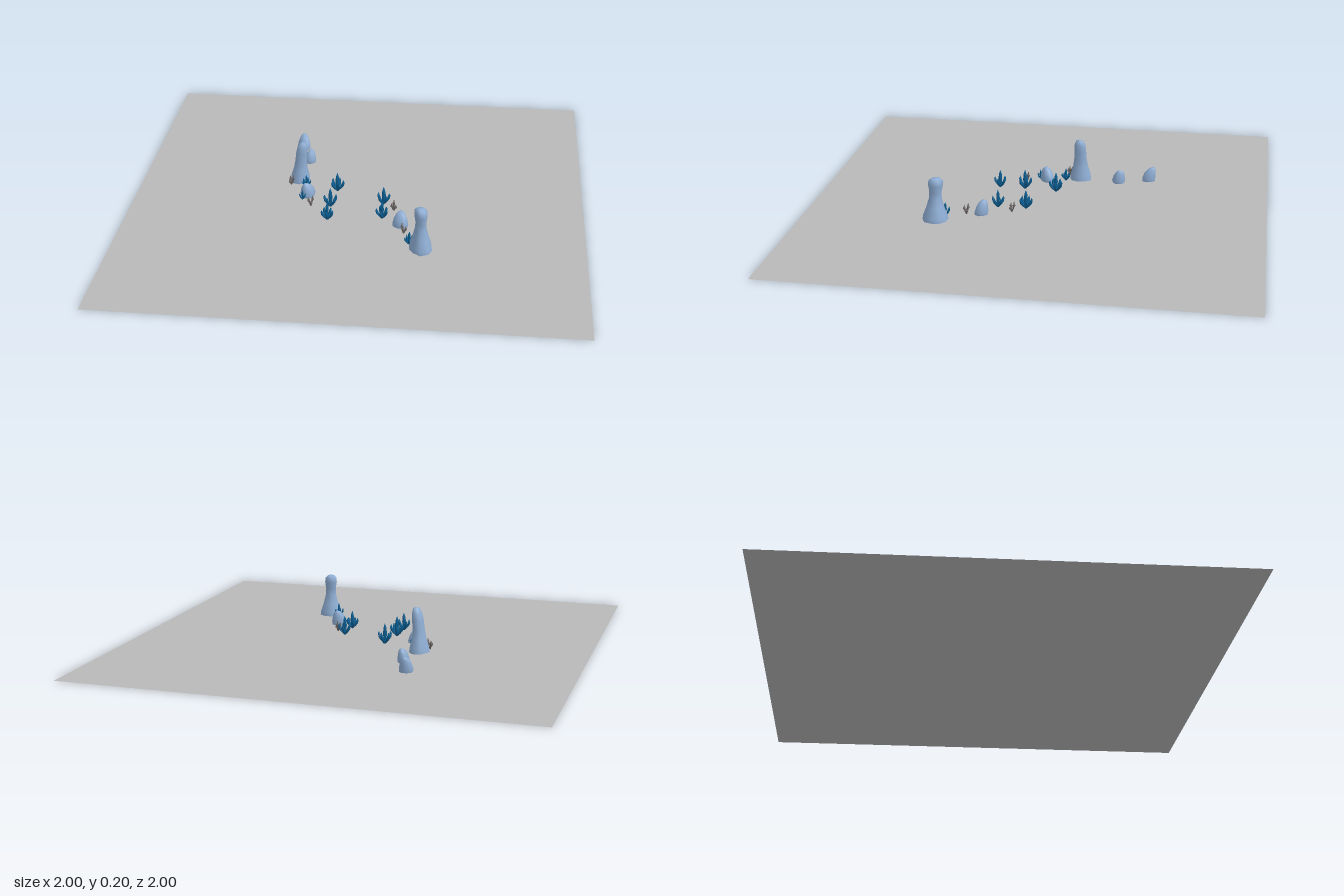
import * as THREE from 'three';
import { mergeVertices } from 'three/addons/utils/BufferGeometryUtils.js';

const mat = (name, color, side = THREE.FrontSide) => {
  const m = new THREE.MeshStandardMaterial({ color, side });
  m.name = name;
  return m;
};

// Lathe whose vertices are moved by a rule, with smooth welded normals
function shapedLathe(profile, sides, rule) {
  const g = new THREE.LatheGeometry(profile.map(([r, y]) => new THREE.Vector2(r, y)), sides);
  g.deleteAttribute('uv');
  g.deleteAttribute('normal');
  const p = g.attributes.position, v = new THREE.Vector3();
  for (let i = 0; i < p.count; i++) {
    rule(v.fromBufferAttribute(p, i));
    p.setXYZ(i, v.x, v.y, v.z);
  }
  const welded = mergeVertices(g, 1e-5);
  welded.computeVertexNormals();
  return welded;
}

// Uneven stone: radius varies around the axis and the top leans
function stone(profile, height, lean, seed) {
  return shapedLathe(profile, 9, (v) => {
    const a = Math.atan2(v.x, v.z), t = v.y / height;
    const k = 1 + 0.09 * Math.sin(2 * a + seed) + 0.07 * Math.sin(3 * a + seed * 2.3);
    v.x = v.x * k + lean[0] * t * t;
    v.z = v.z * k + lean[1] * t * t;
  });
}

// Tapered stalk that bends outward along +x and then up
function stalk(height, reach, width) {
  const profile = [[0.55, 0], [0.8, 0.25], [1, 0.5], [0.75, 0.78], [0, 1]];
  return shapedLathe(profile.map(([r, t]) => [r * width, t * height]), 5, (v) => {
    v.x += reach * Math.sin(Math.min(1, v.y / height * 1.25) * Math.PI / 2);
  });
}

export function createModel() {
  const model = new THREE.Group();
  const ground = mat('ground grey', 0xb8b8b8, THREE.DoubleSide);
  const rock = mat('pale blue stone', 0x8eadd3);
  const leaf = mat('deep blue', 0x0b5f93);
  const twig = mat('dry grey', 0x6c6664);

  const add = (parent, name, geometry, material) => {
    const mesh = new THREE.Mesh(geometry, material);
    mesh.name = name;
    parent.add(mesh);
    return mesh;
  };

  // Flat ground sheet
  add(model, 'ground', new THREE.PlaneGeometry(2, 2).rotateX(-Math.PI / 2), ground);

  // Tall pillars with a narrow waist
  const pillarB = [[0.053, 0], [0.05, 0.02], [0.036, 0.06], [0.026, 0.1], [0.025, 0.13],
    [0.03, 0.16], [0.029, 0.18], [0.018, 0.191], [0, 0.194]];
  add(model, 'rightPillar', stone(pillarB, 0.194, [-0.003, -0.005], 0.6), rock).position.set(0.306, 0, 0.413);
  const pillarA = [[0.048, 0], [0.044, 0.025], [0.034, 0.06], [0.028, 0.1], [0.027, 0.14],
    [0.024, 0.17], [0.016, 0.19], [0, 0.197]];
  add(model, 'leftPillar', stone(pillarA, 0.197, [0.015, 0.004], 2.1), rock).position.set(-0.28, 0, -0.138);

  // Low boulders: x, z, radius, height, lean x, lean z
  [
    [-0.308, -0.455, 0.031, 0.065, 0.0, -0.018],
    [-0.26, -0.318, 0.028, 0.06, 0.005, -0.008],
    [-0.228, 0.008, 0.032, 0.065, -0.006, 0.008],
    [0.208, 0.232, 0.032, 0.066, 0.0, -0.012],
  ].forEach(([x, z, r, h, lx, lz], i) => {
    const profile = [[0.95, 0], [1, 0.2], [0.85, 0.55], [0.6, 0.83], [0.3, 0.97], [0, 1]];
    const g = stone(profile.map(([a, b]) => [a * r, b * h]), h, [lx, lz], i * 1.7);
    add(model, 'boulder', g, rock).position.set(x, 0, z);
  });

  // Blue plants: x, z, size
  [
    [-0.1, -0.05, 1], [-0.115, 0.095, 1], [-0.115, 0.21, 0.9], [0.118, 0.05, 0.95],
    [0.122, 0.175, 0.9], [-0.245, -0.075, 0.65], [-0.247, 0.045, 0.5], [0.256, 0.382, 0.7],
  ].forEach(([x, z, s], i) => {
    const plant = new THREE.Group();
    plant.name = 'bluePlant';
    add(plant, 'centreStalk', stalk(0.092, 0, 0.0095), leaf);
    for (let k = 0; k < 5; k++) {
      add(plant, 'sideStalk', stalk(0.056, 0.027, 0.0075), leaf).rotation.y = k * Math.PI * 0.4;
    }
    plant.position.set(x, 0, z);
    plant.rotation.y = i * 0.5;
    plant.scale.setScalar(s);
    model.add(plant);
  });

  // Dry sprigs: three thin stems with small buds
  [[-0.316, -0.085], [-0.202, 0.1], [0.168, 0.104], [0.225, 0.295]].forEach(([x, z], i) => {
    const sprig = new THREE.Group();
    sprig.name = 'drySprig';
    for (let k = 0; k < 3; k++) {
      const stem = new THREE.Group();
      const h = 0.052 - k * 0.009;
      add(stem, 'stem', stalk(h, 0.01, 0.004), twig);
      const bud = add(stem, 'bud', new THREE.SphereGeometry(0.0065, 6, 4), twig);
      bud.position.set(0.01, h * 0.6, 0);
      stem.rotation.y = k * Math.PI * 2 / 3;
      sprig.add(stem);
    }
    sprig.position.set(x, 0, z);
    sprig.rotation.y = i * 0.8;
    model.add(sprig);
  });

  return model;
}
